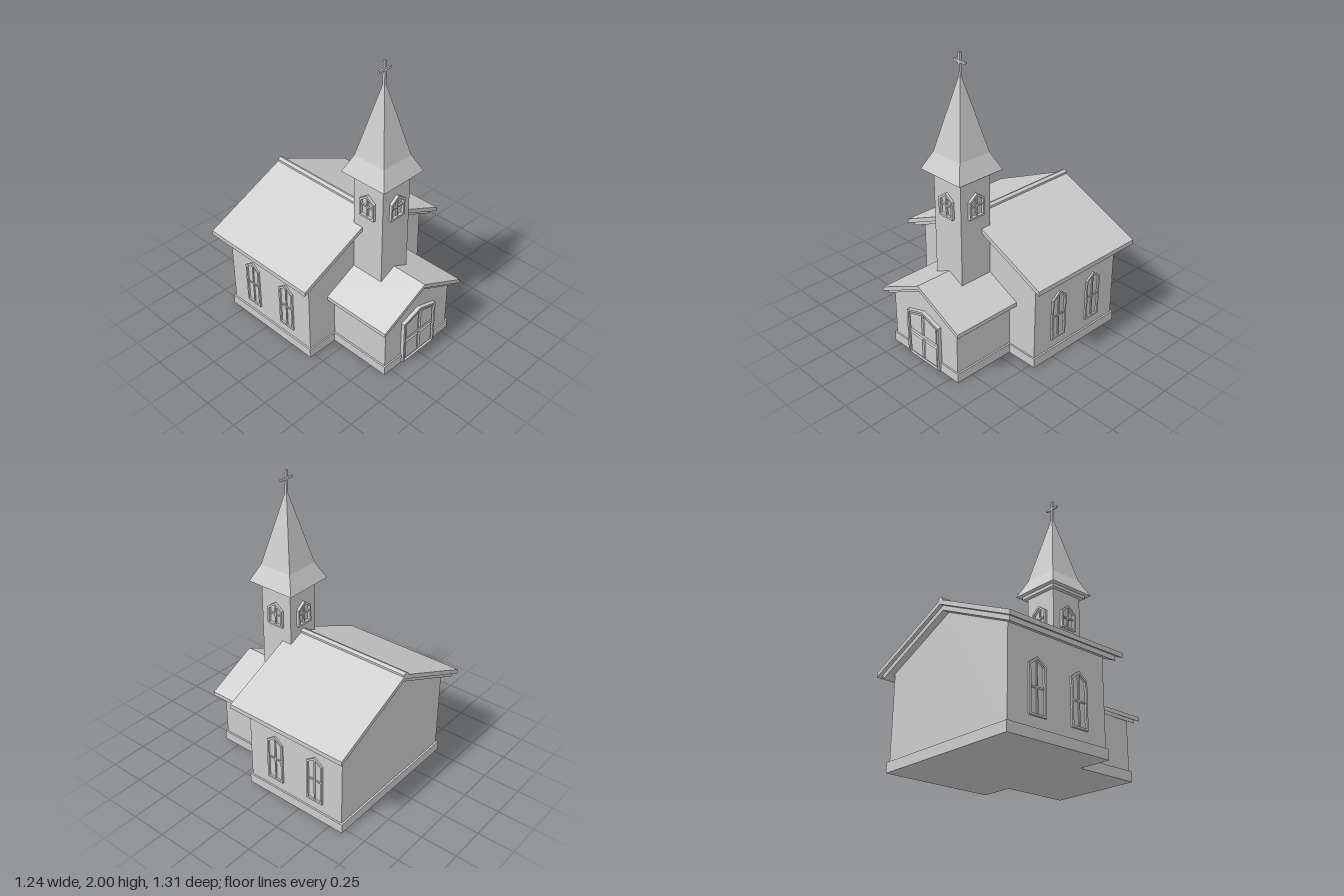
import * as THREE from 'three';

const grey = new THREE.MeshStandardMaterial({ color: 0xcccccc, flatShading: true });

export function createModel() {
  const church = new THREE.Group();
  church.name = 'church';

  const add = (parent, name, geometry) => {
    const mesh = new THREE.Mesh(geometry, grey);
    mesh.name = name;
    parent.add(mesh);
    return mesh;
  };
  const group = (parent, name) => {
    const g = new THREE.Group();
    g.name = name;
    parent.add(g);
    return g;
  };
  const vec = (points) => points.map(([x, y]) => new THREE.Vector2(x, y));

  // Outline in x/y, extruded from z0 to z1
  const prism = (points, z0, z1, hole, bevel = 0) => {
    const shape = new THREE.Shape(vec(points));
    if (hole) shape.holes.push(new THREE.Path(vec(hole)));
    const geometry = new THREE.ExtrudeGeometry(shape, {
      depth: z1 - z0 - bevel, bevelEnabled: bevel > 0, bevelThickness: bevel,
      bevelSize: bevel, bevelOffset: -bevel, bevelSegments: 1,
    });
    return geometry.translate(0, 0, z0);
  };
  // Box given by its limits
  const block = (x0, x1, y0, y1, z0, z1) =>
    new THREE.BoxGeometry(x1 - x0, y1 - y0, z1 - z0)
      .translate((x0 + x1) / 2, (y0 + y1) / 2, (z0 + z1) / 2);
  // Square tapering block centred on the y axis
  const frustum = (bottom, top, y0, y1) =>
    new THREE.CylinderGeometry(top * Math.SQRT2, bottom * Math.SQRT2, y1 - y0, 4)
      .rotateY(Math.PI / 4).translate(0, (y0 + y1) / 2, 0);
  // Wall outline with a pointed top
  const gable = (half, y0, shoulder, apex) =>
    [[-half, y0], [half, y0], [half, shoulder], [0, apex], [-half, shoulder]];
  // Bent roof slab: ridge height, slope and vertical thickness
  const chevron = (half, ridge, slope, thick) => {
    const eave = ridge - half * slope;
    return [[-half, eave - thick], [0, ridge - thick], [half, eave - thick],
      [half, eave], [0, ridge], [-half, eave]];
  };

  // Pointed window facing +z with its back on z = 0
  const makeWindow = (parent, name, half, height, rise, depth, barY) => {
    const w = group(parent, name);
    const f = 0.013;
    const shoulder = height - rise;
    add(w, 'windowFrame', prism(gable(half, 0, shoulder, height), -0.005, depth,
      gable(half - f, f, shoulder - f * 0.6, height - f * 1.3)));
    add(w, 'uprightBar', block(-0.005, 0.005, f / 2, height - f, -0.005, depth * 0.6));
    add(w, 'crossBar', block(-half + f / 2, half - f / 2, barY - 0.005, barY + 0.005, -0.005, depth * 0.6));
    return w;
  };

  // Nave
  const nave = group(church, 'nave');
  add(nave, 'naveWalls', prism(gable(0.524, 0, 0.64, 0.879), -0.587, 0.16));
  add(nave, 'navePlinth', block(-0.536, 0.536, 0, 0.066, -0.6, 0.17));
  add(nave, 'naveRoof', prism(chevron(0.62, 0.928, 0.456, 0.031), -0.656, 0.232));
  add(nave, 'naveRoofTrim', prism(chevron(0.587, 0.897, 0.456, 0.031), -0.632, 0.203));
  add(nave, 'ridgeCap', prism([[-0.022, 0.9], [0.022, 0.9], [0.022, 0.932], [0, 0.942], [-0.022, 0.932]], -0.656, 0.232));
  for (const side of [-1, 1]) {
    for (const z of [-0.053, -0.376]) {
      const w = makeWindow(nave, 'naveWindow', 0.063, 0.345, 0.047, 0.012, 0.165);
      w.position.set(side * 0.524, 0.134, z);
      w.rotation.y = side * Math.PI / 2;
    }
  }

  // Porch
  const porch = group(church, 'porch');
  add(porch, 'porchWalls', prism(gable(0.3, 0, 0.4, 0.547), 0.1, 0.61));
  add(porch, 'porchPlinth', block(-0.312, 0.312, 0, 0.066, 0.1, 0.62));
  add(porch, 'porchRoof', prism(chevron(0.362, 0.588, 0.49, 0.028), 0.15, 0.658));
  add(porch, 'porchRoofTrim', prism(chevron(0.332, 0.56, 0.49, 0.023), 0.15, 0.64));

  // Double door with four raised panels
  const door = group(porch, 'door');
  add(door, 'doorFrame', prism(gable(0.151, 0.008, 0.332, 0.38), 0.6, 0.636, gable(0.137, 0.009, 0.323, 0.366)));
  add(door, 'doorLeaves', prism(gable(0.14, 0.012, 0.325, 0.369), 0.6, 0.623));
  for (const side of [-1, 1]) {
    const panel = (y0, yOuter, yInner) => {
      const points = [[0.005, y0], [0.133, y0], [0.133, yOuter], [0.005, yInner]]
        .map(([x, y]) => [side * x, y]);
      return prism(side > 0 ? points : points.reverse(), 0.62, 0.631, null, 0.008);
    };
    add(door, 'lowerDoorPanel', panel(0.018, 0.172, 0.172));
    add(door, 'upperDoorPanel', panel(0.194, 0.318, 0.358));
  }

  // Tower
  const tower = group(church, 'tower');
  tower.position.z = 0.28;
  add(tower, 'towerWalls', block(-0.12, 0.12, 0.45, 1.245, -0.12, 0.12));
  add(tower, 'towerCornice', block(-0.146, 0.146, 1.238, 1.262, -0.146, 0.146));
  for (let i = 0; i < 4; i++) {
    const a = i * Math.PI / 2;
    const w = makeWindow(tower, 'towerWindow', 0.061, 0.167, 0.045, 0.019, 0.08);
    w.position.set(Math.sin(a) * 0.12, 0.978, Math.cos(a) * 0.12);
    w.rotation.y = a;
  }

  // Spire with flared foot and cross
  add(tower, 'spireSkirt', frustum(0.176, 0.12, 1.26, 1.375));
  add(tower, 'spire', frustum(0.12, 0.007, 1.375, 1.85));
  add(tower, 'crossUpright', block(-0.008, 0.008, 1.82, 2, -0.008, 0.008));
  add(tower, 'crossArm', block(-0.051, 0.051, 1.937, 1.951, -0.007, 0.007));

  return church;
}
